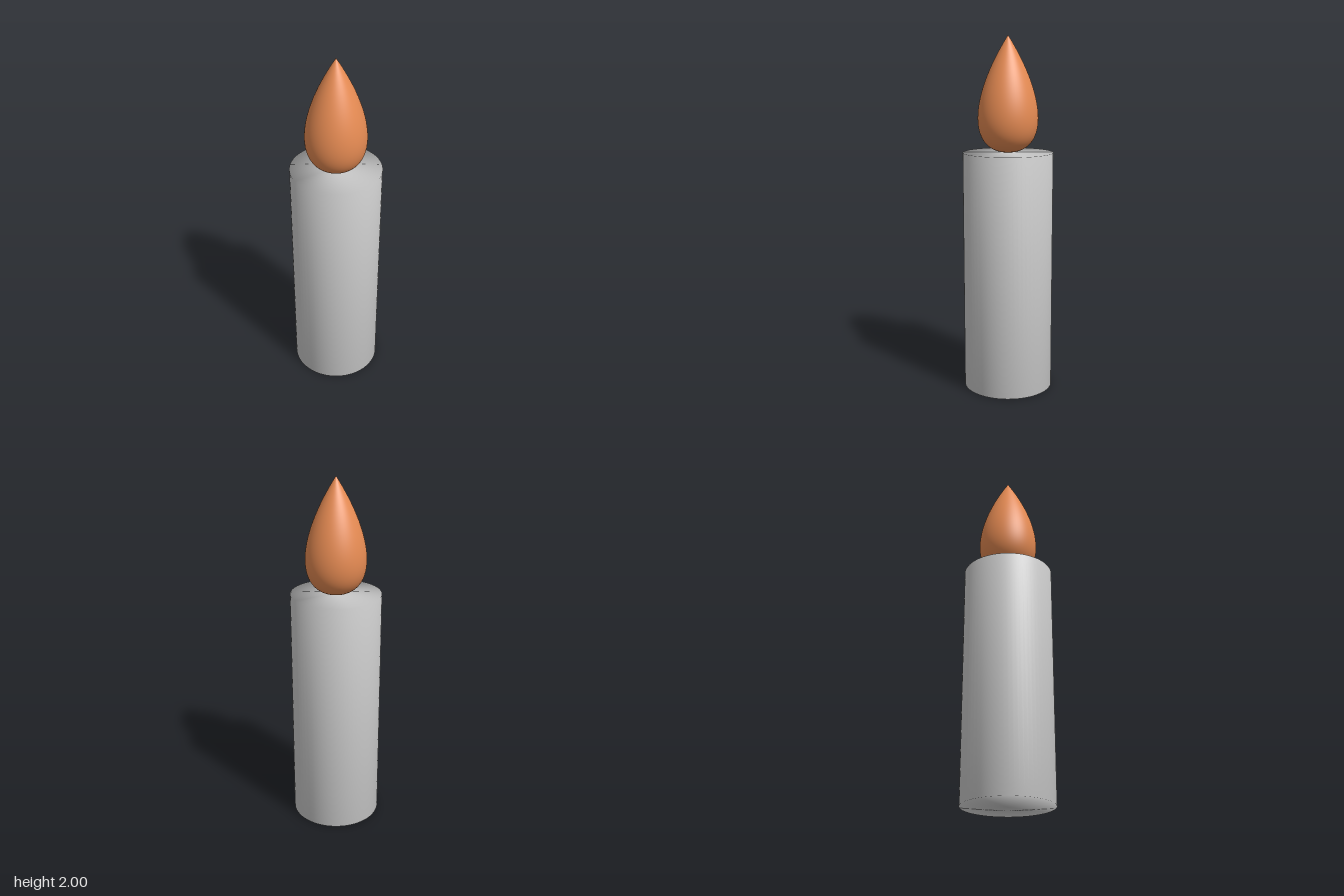
import * as THREE from 'three';

export function createModel() {
  const model = new THREE.Group();
  model.name = 'candle';

  const wax = new THREE.MeshStandardMaterial({ name: 'grey wax', color: 0xcccccc });
  const fire = new THREE.MeshStandardMaterial({ name: 'orange flame', color: 0xe68b53 });

  // Turns a profile of [radius, height] points around the y axis
  const turned = (name, points, material) => {
    const mesh = new THREE.Mesh(new THREE.LatheGeometry(points, 64), material);
    mesh.name = name;
    model.add(mesh);
  };
  const point = (r, y) => new THREE.Vector2(r, y);

  // Candle body: a closed cylinder with normals blended over its rims
  const radius = 0.253, height = 1.36;
  turned('candleBody', [point(0, 0), point(radius, 0), point(radius, height), point(0, height)], wax);

  // Flame: a teardrop with a round base and a pointed tip
  const outline = new THREE.CubicBezierCurve(
    point(0, height), point(0.224, height), point(0.224, 1.65), point(0, 2));
  turned('flame', outline.getPoints(32), fire);

  return model;
}
